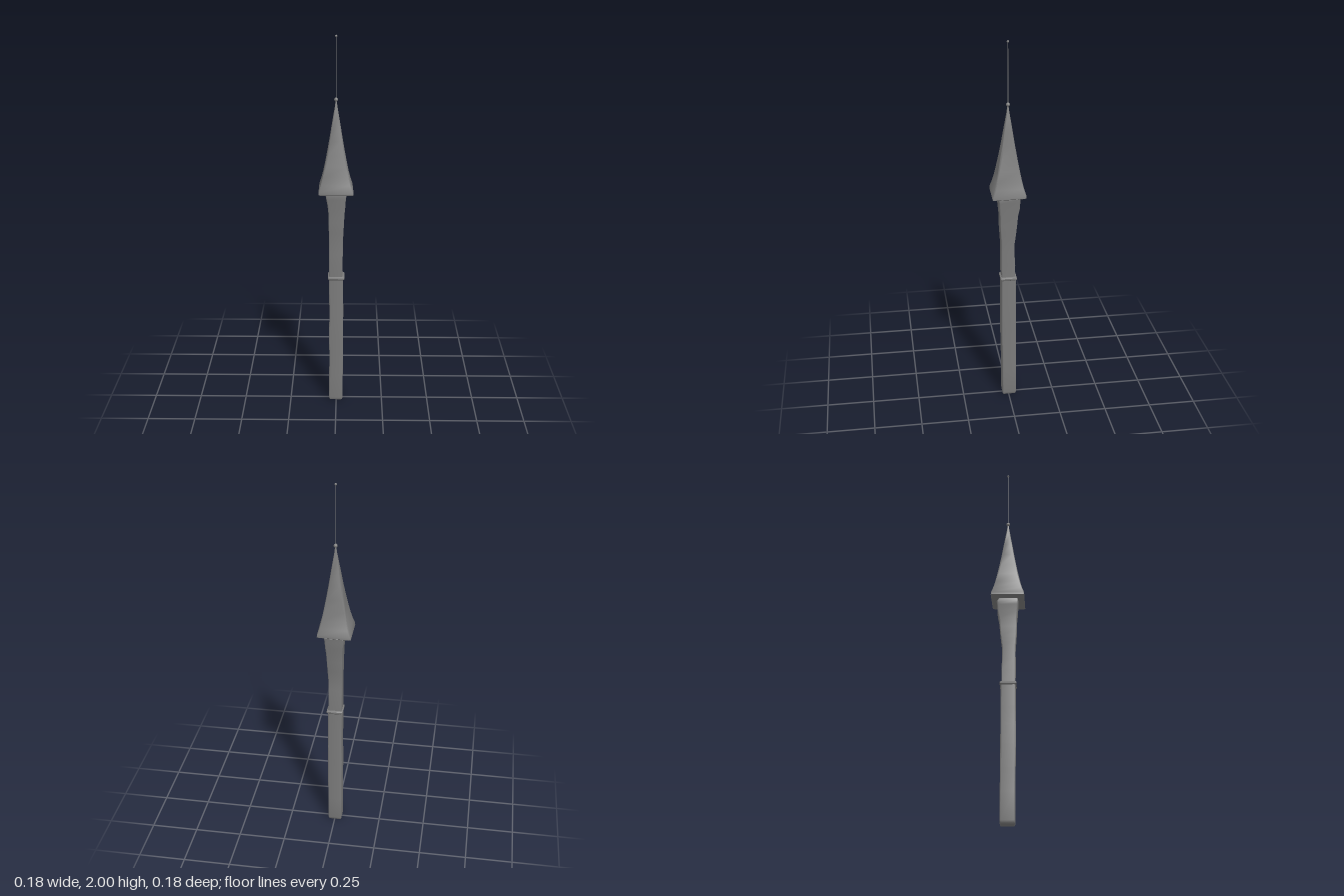
import * as THREE from 'three';
import { toCreasedNormals } from 'three/addons/utils/BufferGeometryUtils.js';

const material = new THREE.MeshStandardMaterial({ color: 0x7b7b7b });

function add(group, name, geometry, y = 0) {
  const mesh = new THREE.Mesh(geometry, material);
  mesh.name = name;
  mesh.position.y = y;
  group.add(mesh);
}

// Square outline with rounded corners, half size 1
function squareRing(round) {
  const ring = [];
  for (let c = 0; c < 4; c++) {
    const mid = Math.PI / 4 + c * Math.PI / 2;
    const cx = Math.sign(Math.cos(mid)) * (1 - round);
    const cz = Math.sign(Math.sin(mid)) * (1 - round);
    for (let s = 0; s <= 3; s++) {
      const a = mid - Math.PI / 4 + (s / 3) * Math.PI / 2;
      ring.push([cx + round * Math.cos(a), cz + round * Math.sin(a)]);
    }
  }
  return ring;
}

// Skin through square sections [y, halfX, halfZ, centreX, centreZ], bottom to top;
// roundAt(y) gives the corner rounding, warp moves single points
function squareLoft(rows, roundAt, crease = 0.7, warp = () => {}) {
  const n = 16;
  const positions = [], index = [];
  rows.forEach(([y, hx, hz = hx, cx = 0, cz = 0]) => {
    for (const [u, v] of squareRing(roundAt(y))) {
      const p = new THREE.Vector3(cx + u * hx, y, cz + v * hz);
      warp(p);
      positions.push(p.x, p.y, p.z);
    }
  });
  for (let r = 0; r < rows.length - 1; r++) {
    for (let i = 0; i < n; i++) {
      const a = r * n + i, b = r * n + (i + 1) % n;
      index.push(a, a + n, b, b, a + n, b + n);
    }
  }
  const geometry = new THREE.BufferGeometry();
  geometry.setAttribute('position', new THREE.Float32BufferAttribute(positions, 3));
  geometry.setIndex(index);
  return toCreasedNormals(geometry, crease);
}

export function createModel() {
  const model = new THREE.Group();
  model.name = 'tower';

  // Square lower shaft with a slightly uneven surface
  add(model, 'lowerShaft', squareLoft([
    [0, 0.0005], [0, 0.032, 0.033, -0.002, -0.003], [0.004, 0.035, 0.036, -0.002, -0.003],
    [0.015, 0.037, 0.038, -0.002, -0.004], [0.15, 0.037, 0.038, -0.001, -0.003],
    [0.28, 0.037, 0.038, 0, -0.002], [0.4, 0.038, 0.039, -0.001, 0],
    [0.5, 0.037, 0.039, 0.001, 0], [0.6, 0.037, 0.038, 0, 0], [0.72, 0.037, 0.038, -0.001, 0],
  ], () => 0.16));

  // Thin moulding between the two shaft stages
  add(model, 'band', squareLoft([
    [0.712, 0.03], [0.715, 0.038], [0.721, 0.043], [0.729, 0.043], [0.734, 0.038], [0.736, 0.03],
  ], () => 0.14));

  // Upper shaft flaring out beneath the roof
  add(model, 'upperShaft', squareLoft([
    [0.725, 0.035, 0.035, -0.002, 0.001], [0.8, 0.035, 0.037, -0.002, 0.002],
    [0.86, 0.036, 0.035, -0.001, 0.004], [0.92, 0.036, 0.034, -0.001, 0.004],
    [0.98, 0.038, 0.040, 0, 0.002], [1.04, 0.040, 0.045, 0.001, 0.001],
    [1.09, 0.042, 0.047, 0.002, -0.001], [1.13, 0.046, 0.053, 0.002, -0.003],
    [1.165, 0.05, 0.055, 0, -0.003], [1.185, 0.053, 0.057, 0, -0.003], [1.192, 0.05, 0.053],
    [1.21, 0.047, 0.05],
  ], () => 0.14));

  // Steep roof, skewed at the eaves, its ridges softening towards the tip
  const skew = (p) => {
    if (p.x > 0 && p.z < 0) { p.x *= 0.94; p.z *= 0.94; }
    if (p.x < 0 && p.z > 0) p.z *= 0.95;
  };
  const softening = (y) => 0.05 + 0.4 * THREE.MathUtils.smoothstep(y, 1.2, 1.65);
  add(model, 'roof', squareLoft([
    [1.205, 0.0005], [1.2, 0.05], [1.198, 0.083], [1.203, 0.09], [1.216, 0.089],
    [1.25, 0.078], [1.29, 0.068], [1.34, 0.058], [1.4, 0.047], [1.47, 0.035],
    [1.54, 0.024], [1.6, 0.014], [1.64, 0.007], [1.672, 0.003],
  ], softening, 1, skew));

  // Finial: ball, fine mast and small tip
  add(model, 'finialBall', new THREE.SphereGeometry(0.01, 16, 12), 1.678);
  add(model, 'mast', new THREE.CylinderGeometry(0.0015, 0.002, 0.32, 10), 1.83);
  add(model, 'mastTip', new THREE.SphereGeometry(0.006, 12, 10), 1.994);

  return model;
}
